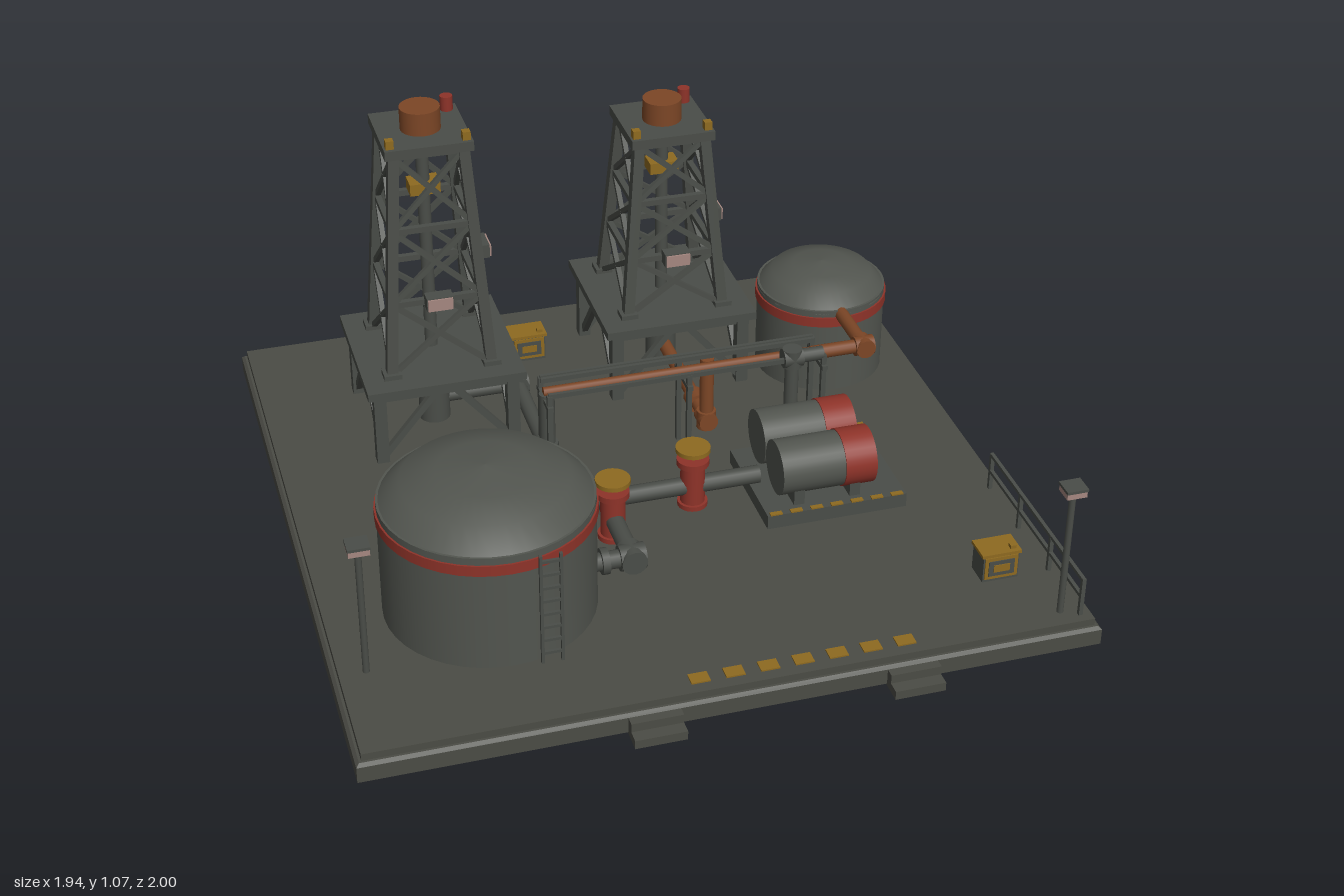
import * as THREE from 'three';

const mat = (name, color) => {
  const m = new THREE.MeshStandardMaterial({ color });
  m.name = name;
  return m;
};
const V = (x, y, z) => new THREE.Vector3(x, y, z);

export function createModel() {
  const deckMat = mat('deck grey', 0x4b4c45);
  const steel = mat('structure steel', 0x4a4d48);
  const tankMat = mat('tank grey', 0x52554f);
  const red = mat('safety red', 0x8e3329);
  const yellow = mat('hazard yellow', 0x8e6a20);
  const copper = mat('rusty copper', 0x7c4626);
  const pale = mat('lamp glass', 0xa58780);

  const root = new THREE.Group();
  root.name = 'oilField';

  const group = (name, parent = root) => {
    const g = new THREE.Group();
    g.name = name;
    parent.add(g);
    return g;
  };
  const add = (parent, name, geo, m, x = 0, y = 0, z = 0) => {
    const mesh = new THREE.Mesh(geo, m);
    mesh.name = name;
    mesh.position.set(x, y, z);
    parent.add(mesh);
    return mesh;
  };
  const box = (p, name, m, w, h, d, x, y, z) => add(p, name, new THREE.BoxGeometry(w, h, d), m, x, y, z);
  // upright cylinder standing on y
  const drum = (p, name, m, r, h, x, y, z, seg = 20) =>
    add(p, name, new THREE.CylinderGeometry(r, r, h, seg), m, x, y + h / 2, z);
  // square bar or round tube between two points
  const span = (p, name, m, a, b, geo) => {
    const mesh = add(p, name, geo, m);
    mesh.position.copy(a).add(b).multiplyScalar(0.5);
    mesh.quaternion.setFromUnitVectors(V(0, 1, 0), b.clone().sub(a).normalize());
    return mesh;
  };
  const beam = (p, name, m, a, b, t) => span(p, name, m, a, b, new THREE.BoxGeometry(t, a.distanceTo(b), t));
  const tube = (p, name, m, a, b, r, seg = 14) =>
    span(p, name, m, a, b, new THREE.CylinderGeometry(r, r, a.distanceTo(b), seg));
  // pipe run with a thick fitting at every bend
  const pipe = (name, m, r, pts) => {
    const g = group(name);
    pts.forEach((q, i) => {
      if (!i) return;
      const a = pts[i - 1], d = q.clone().sub(a).normalize(), f = r * 1.4;
      tube(g, 'pipeLength', m, a, q, r);
      if (i < pts.length - 1) tube(g, 'elbow', m, q.clone().addScaledVector(d, -f), q.clone().addScaledVector(d, f), f);
      if (i > 1) tube(g, 'elbow', m, a.clone().addScaledVector(d, -f), a.clone().addScaledVector(d, f), f);
    });
    return g;
  };

  // base slab with chamfered rim and raised deck
  const base = group('base');
  const slab = (name, w, h, y, taper) => {
    const g = new THREE.CylinderGeometry(w * Math.SQRT2 - taper, w * Math.SQRT2, h, 4, 1).toNonIndexed();
    g.rotateY(Math.PI / 4);
    g.computeVertexNormals();
    return add(base, name, g, deckMat, 0, y, -0.03);
  };
  box(base, 'slab', deckMat, 1.94, 0.045, 1.94, 0, 0.0275, -0.03);
  slab('slabChamfer', 0.97, 0.008, 0.054, 0.012);
  box(base, 'slabFoot', deckMat, 1.92, 0.01, 1.92, 0, 0.005, -0.03);
  box(base, 'deck', deckMat, 1.91, 0.025, 1.91, 0, 0.0655, -0.03);
  for (const x of [-0.228, 0.45]) {
    box(base, 'lowerStep', deckMat, 0.135, 0.025, 0.07, x, 0.0125, 0.965);
    box(base, 'upperStep', deckMat, 0.135, 0.025, 0.035, x, 0.0375, 0.948);
  }
  for (let i = 0; i < 7; i++) box(base, 'deckStripe', yellow, 0.05, 0.004, 0.037, -0.095 + i * 0.091, 0.08, 0.875);
  const D = 0.078;

  // storage tanks with red band and domed roof
  const tank = (name, x, z, r, wall, dome) => {
    const g = group(name);
    g.position.set(x, 0, z);
    drum(g, 'shell', tankMat, r, wall - D, 0, D, 0, 40);
    drum(g, 'bandStripe', red, r + 0.005, 0.03, 0, wall - 0.05, 0, 40);
    const prof = [[1.0, 0], [1.0, 0.06], [0.78, 0.64], [0.45, 0.87], [0, 1]]
      .map(([a, b]) => new THREE.Vector2(a * r, wall - 0.012 + b * dome)).map((p) => (p.x < 1e-6 ? p.setX(0.0001) : p));
    add(g, 'domedRoof', new THREE.LatheGeometry(prof, 40), tankMat);
    return g;
  };
  const big = tank('largeTank', -0.522, 0.42, 0.28, 0.415, 0.1);
  tank('smallTank', 0.698, -0.483, 0.188, 0.345, 0.078);
  for (const s of [-1, 1]) box(big, 'ladderRail', steel, 0.008, 0.33, 0.01, 0.095 + s * 0.026, 0.245, 0.29);
  for (let i = 0; i < 8; i++) box(big, 'ladderRung', steel, 0.05, 0.008, 0.008, 0.095, 0.11 + i * 0.04, 0.29);

  // derricks: raised platform, tapered lattice, crown and hoist
  const derrick = (name, x, z, top) => {
    const g = group(name);
    g.position.set(x, 0, z);
    const P = 0.32, H = top - 0.03 - P;
    box(g, 'platform', steel, 0.45, 0.024, 0.45, 0, P - 0.012, 0);
    drum(g, 'wellhead', steel, 0.045, 0.11, 0, D, 0);
    drum(g, 'wellheadFlange', steel, 0.065, 0.02, 0, 0.185, 0);
    drum(g, 'drillPipe', steel, 0.018, top - 0.09, 0, D, 0);
    const half = (t) => 0.142 - 0.045 * t;
    for (let k = 0; k < 4; k++) {
      const side = group('side', g);
      side.rotation.y = k * Math.PI / 2;
      const at = (s, t) => V(s * half(t), P + t * H, half(t));
      // platform support
      beam(side, 'supportLeg', steel, V(0.19, D, 0.19), V(0.19, P - 0.01, 0.19), 0.035);
      beam(side, 'supportRail', steel, V(-0.19, P - 0.035, 0.19), V(0.19, P - 0.035, 0.19), 0.022);
      for (const s of [-1, 1]) beam(side, 'supportBrace', steel, V(s * 0.18, D + 0.02, 0.19), V(s * 0.02, P - 0.03, 0.19), 0.018);
      // lattice tower
      beam(side, 'towerLeg', steel, at(1, 0), at(1, 1), 0.03);
      box(side, 'legFoot', steel, 0.05, 0.015, 0.05, 0.142, P + 0.007, 0.142);
      for (let i = 0; i < 3; i++) {
        const a = i / 3, b = (i + 1) / 3;
        beam(side, 'girt', steel, at(-1, b), at(1, b), 0.017);
        for (const s of [-1, 1]) beam(side, 'crossBrace', steel, at(s, a), at(-s, b), 0.014);
      }
    }
    box(g, 'crownPlate', steel, 0.244, 0.028, 0.244, 0, top - 0.014, 0);
    drum(g, 'crownDrum', copper, 0.056, 0.065, 0, top, 0, 24);
    drum(g, 'beacon', red, 0.018, 0.042, 0.092, top, -0.092, 14);
    for (const s of [-1, 1]) box(g, 'crownMarker', yellow, 0.022, 0.025, 0.022, s * 0.105, top + 0.012, 0.1);
    box(g, 'travellingBlock', yellow, 0.085, 0.034, 0.06, 0, P + 0.78 * H, 0);
    // flood lamps on front and left faces
    for (const [ry, t] of [[0, 0.345], [Math.PI / 2, 0.45]]) {
      const lamp = group('towerLamp', g);
      lamp.rotation.y = ry;
      box(lamp, 'lampBody', steel, 0.075, 0.04, 0.04, 0, P + t * H, 0.152);
      box(lamp, 'lampFace', pale, 0.07, 0.035, 0.006, 0, P + t * H, 0.174);
    }
  };
  derrick('tallDerrick', -0.478, -0.485, 1.005);
  derrick('shortDerrick', 0.245, -0.62, 0.872);

  // pipe runs
  pipe('tankPipe', steel, 0.025, [V(-0.26, 0.14, 0.42), V(-0.14, 0.14, 0.42), V(-0.14, 0.14, 0.148), V(0.3, 0.14, 0.148)]);
  tube(root, 'tankFlange', steel, V(-0.225, 0.14, 0.42), V(-0.205, 0.14, 0.42), 0.036);
  pipe('tallWellPipe', steel, 0.022, [V(-0.478, 0.14, -0.488), V(-0.23, 0.14, -0.488), V(-0.23, 0.14, -0.122), V(-0.23, 0.33, -0.122)]);
  pipe('shortWellPipe', copper, 0.02, [V(0.245, 0.14, -0.6), V(0.245, 0.14, -0.16), V(0.245, 0.34, -0.16)]);
  tube(root, 'wellFlange', copper, V(0.245, 0.14, -0.285), V(0.245, 0.14, -0.235), 0.03);
  pipe('smallTankPipe', copper, 0.02, [V(0.54, 0.33, -0.122), V(0.698, 0.33, -0.122), V(0.698, 0.33, -0.31)]);
  tube(root, 'rackPipe', copper, V(-0.24, 0.335, -0.122), V(0.56, 0.335, -0.122), 0.014);
  pipe('pumpPipe', steel, 0.02, [V(0.47, 0.135, 0.07), V(0.47, 0.135, -0.082), V(0.47, 0.352, -0.082), V(0.56, 0.352, -0.082)]);

  // pipe rack
  const rack = group('pipeRack');
  for (const z of [-0.172, -0.155, -0.07]) box(rack, 'rackRail', steel, 0.8, 0.014, 0.01, 0.162, 0.352, z);
  for (const x of [-0.235, 0.165, 0.56]) {
    box(rack, 'rackCrossbar', steel, 0.016, 0.014, 0.13, x, 0.315, -0.12);
    for (const z of [-0.172, -0.07]) box(rack, 'rackPost', steel, 0.014, 0.275, 0.014, x, 0.215, z);
  }

  // valves
  for (const [x, z] of [[-0.14, 0.235], [0.11, 0.148]]) {
    const g = group('valve');
    g.position.set(x, 0, z);
    drum(g, 'valveBody', red, 0.034, 0.135, 0, D, 0);
    drum(g, 'valveBase', red, 0.042, 0.014, 0, D, 0);
    drum(g, 'valveFlange', red, 0.045, 0.018, 0, 0.21, 0);
    drum(g, 'valveStem', red, 0.011, 0.03, 0, 0.225, 0, 10);
    drum(g, 'handwheel', yellow, 0.048, 0.013, 0, 0.252, 0, 24);
  }

  // pump skid with two horizontal vessels
  const skid = group('pumpSkid');
  box(skid, 'skidBase', steel, 0.4, 0.043, 0.335, 0.47, 0.098, 0.155);
  for (let i = 0; i < 7; i++) box(skid, 'skidStripe', yellow, 0.034, 0.004, 0.014, 0.295 + i * 0.058, 0.121, 0.316);
  box(skid, 'skidMarker', yellow, 0.022, 0.03, 0.022, 0.652, 0.132, 0.002);
  for (const z of [0.073, 0.231]) {
    tube(skid, 'vessel', tankMat, V(0.318, 0.212, z), V(0.498, 0.212, z), 0.077, 32);
    tube(skid, 'vesselCap', red, V(0.496, 0.212, z), V(0.585, 0.212, z), 0.08, 32);
    for (const x of [0.37, 0.53]) box(skid, 'saddle', steel, 0.03, 0.06, 0.12, x, 0.14, z);
  }

  // control boxes with yellow lid and panel
  for (const [x, z] of [[0.785, 0.668], [-0.143, -0.735]]) {
    const g = group('controlBox');
    g.position.set(x, 0, z);
    box(g, 'cabinet', steel, 0.1, 0.08, 0.07, 0, D + 0.04, 0);
    box(g, 'lid', yellow, 0.11, 0.009, 0.076, 0, 0.16, 0);
    box(g, 'frontFrame', yellow, 0.092, 0.066, 0.004, 0, 0.12, 0.036);
    box(g, 'frontPanel', steel, 0.072, 0.046, 0.004, 0, 0.12, 0.038);
    box(g, 'frontPlate', yellow, 0.045, 0.022, 0.004, 0, 0.12, 0.04);
    box(g, 'lidKnob', yellow, 0.016, 0.012, 0.016, 0.036, 0.168, 0.018);
  }

  // flood light poles
  for (const [x, z] of [[-0.885, 0.62], [0.88, 0.872]]) {
    const g = group('lightPole');
    g.position.set(x, 0, z);
    drum(g, 'pole', steel, 0.009, 0.375, 0, D, 0, 10);
    box(g, 'lampHead', pale, 0.054, 0.018, 0.05, 0, 0.457, 0);
    box(g, 'lampCap', steel, 0.058, 0.008, 0.054, 0, 0.469, 0);
  }

  // side railing
  const rail = group('railing');
  for (let i = 0; i < 4; i++) box(rail, 'railPost', steel, 0.011, 0.115, 0.011, 0.925, 0.133, 0.305 + i * 0.197);
  for (const y of [0.135, 0.187]) box(rail, 'railBar', steel, 0.01, 0.01, 0.6, 0.925, y, 0.6);

  return root;
}
